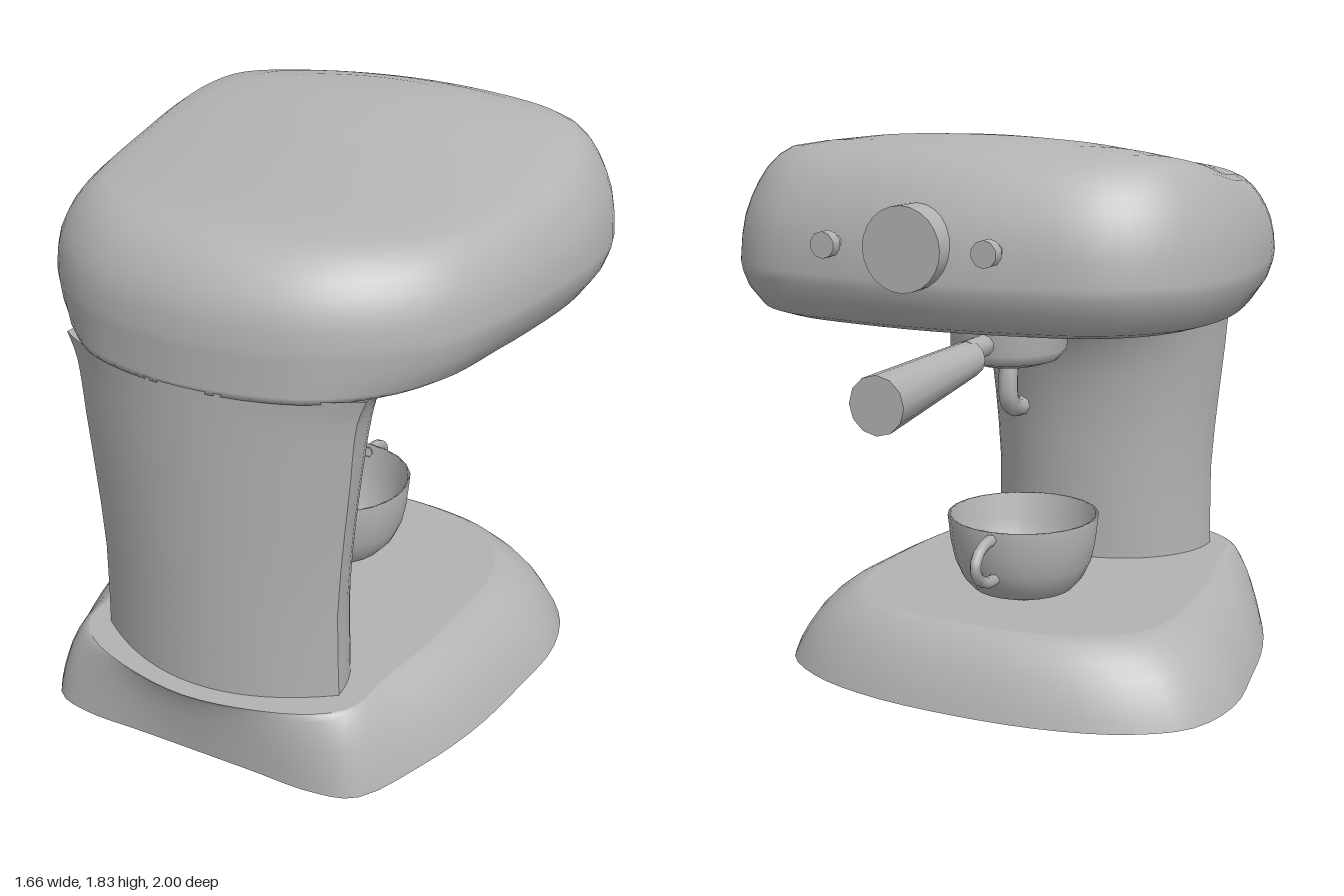
import * as THREE from 'three';

const metal = new THREE.MeshStandardMaterial({ color: 0xb3b3b3, side: THREE.DoubleSide });
metal.name = 'grey metal';

const lerp = THREE.MathUtils.lerp;

// Smooth function through [input, value] pairs, inputs ascending
function track(pairs) {
  return (v) => {
    let i = 0;
    while (i < pairs.length - 2 && v > pairs[i + 1][0]) i++;
    const [a, b] = [pairs[i], pairs[i + 1]];
    const slope = (k) => {
      const p = pairs[Math.max(k - 1, 0)], q = pairs[Math.min(k + 1, pairs.length - 1)];
      return (q[1] - p[1]) / (q[0] - p[0]);
    };
    const h = b[0] - a[0], t = THREE.MathUtils.clamp((v - a[0]) / h, 0, 1);
    return a[1] * (1 + 2 * t) * (1 - t) ** 2 + b[1] * t * t * (3 - 2 * t)
      + h * (slope(i) * t * (1 - t) ** 2 + slope(i + 1) * t * t * (t - 1));
  };
}

// Closed plan outline from its +x half, as [x, z] points
function outline(half, count = 72) {
  const mirrored = half.slice(1, -1).reverse().map(([x, z]) => [-x, z]);
  const pts = [...half, ...mirrored].map(([x, z]) => new THREE.Vector3(x, 0, z));
  return new THREE.CatmullRomCurve3(pts, true).getPoints(count).slice(0, -1).map((p) => [p.x, p.z]);
}

// Skin over rows of [x, y, z], listed from bottom to top
function skin(rows, closed) {
  const n = rows[0].length, index = [];
  for (let i = 0; i < rows.length - 1; i++) {
    for (let j = 0; j < (closed ? n : n - 1); j++) {
      const a = i * n + j, b = i * n + ((j + 1) % n);
      index.push(a, a + n, b, b, a + n, b + n);
    }
  }
  const g = new THREE.BufferGeometry();
  g.setAttribute('position', new THREE.Float32BufferAttribute(rows.flat(2), 3));
  g.setIndex(index);
  g.computeVertexNormals();
  return g;
}

function add(parent, name, geometry, x = 0, y = 0, z = 0) {
  const mesh = new THREE.Mesh(geometry, metal);
  mesh.name = name;
  mesh.position.set(x, y, z);
  parent.add(mesh);
  return mesh;
}

// Column plan: a shallow arc behind and a half ellipse in front
const columnWidth = track([[0.25, 0.425], [0.55, 0.42], [0.75, 0.435], [1, 0.46], [1.2, 0.48], [1.28, 0.51]]);
const columnFront = track([[0.25, 0.405], [0.5, 0.4], [0.83, 0.385], [1.02, 0.345], [1.15, 0.275], [1.235, 0.18], [1.28, 0.02]]);
function columnArc(y, back) {
  const w = columnWidth(y), pts = [];
  for (let i = 0; i <= 28; i++) {
    const a = (i / 28) * Math.PI, x = w * Math.cos(a);
    pts.push(back ? [x, y, 0.93 - 0.16 * (x / w) ** 2]
      : [-x, y, 0.77 - (0.77 - columnFront(y)) * Math.sin(a)]);
  }
  return pts;
}

function buildColumn(g) {
  const heights = [0.25, 0.4, 0.55, 0.7, 0.83, 0.95, 1.02, 1.09, 1.15, 1.195, 1.235, 1.26, 1.28];
  add(g, 'columnBack', skin(heights.map((y) => columnArc(y, true)), false));
  add(g, 'columnFront', skin(heights.map((y) => columnArc(y, false)), false));
}

function buildBase(g) {
  const foot = outline([[0, -0.56], [0.3, -0.54], [0.55, -0.47], [0.73, -0.34], [0.8, -0.12], [0.78, 0.15],
    [0.74, 0.42], [0.66, 0.68], [0.55, 0.9], [0.42, 0.94], [0.2, 0.94], [0, 0.94]]);
  const rim = outline([[0, -0.4], [0.2, -0.39], [0.36, -0.35], [0.5, -0.25], [0.57, -0.08], [0.57, 0.15],
    [0.55, 0.4], [0.51, 0.62], [0.49, 0.8], [0.4, 0.89], [0.2, 0.965], [0, 0.995]]);
  const steps = [[1, 0.003], [0.92, 0.05], [0.8, 0.1], [0.65, 0.152], [0.47, 0.197], [0.25, 0.235], [0.1, 0.25], [0, 0.255]];
  add(g, 'baseSide', skin(steps.map(([t, y]) =>
    rim.map(([x, z], j) => [lerp(x, foot[j][0], t), y, lerp(z, foot[j][1], t)])), true));
  // Top plate, open where the hollow column stands
  const flat = ([x, z]) => new THREE.Vector2(x, -z);
  const plate = new THREE.Shape(rim.map(flat));
  const ring = [...columnArc(0.255, true), ...columnArc(0.255, false).slice(1, -1)];
  plate.holes.push(new THREE.Path(ring.map(([x, , z]) => flat([x, z]))));
  add(g, 'baseTop', new THREE.ShapeGeometry(plate).rotateX(-Math.PI / 2), 0, 0.255, 0);
}

function buildHead(g) {
  const plan = outline([[0, -0.8], [0.3, -0.775], [0.55, -0.72], [0.71, -0.6], [0.8, -0.43], [0.83, -0.2],
    [0.8, 0.1], [0.74, 0.4], [0.66, 0.6], [0.5, 0.77], [0.3, 0.88], [0, 0.93]]);
  const ridge = track([[-0.65, 1.79], [-0.45, 1.835], [-0.3, 1.825], [0, 1.77], [0.3, 1.735], [0.65, 1.71], [0.75, 1.695]]);
  const top = (x, z) => ridge(z) - 0.065 * (x / 0.69) ** 2;
  const rows = [];
  // Flat underside and its rounded lip, which fades out where the column joins
  const lower = [[0.8, 1.27], [0.5, 1.27], [0.2, 1.27], [0.11, 1.272], [0.06, 1.29], [0.02, 1.35], [0.004, 1.4]];
  for (const [inset, y] of lower) {
    rows.push(plan.map(([x, z]) => {
      const fade = inset > 0.15 ? 1 : THREE.MathUtils.clamp((0.85 - z) / 0.5, 0, 1);
      const k = 1 - (inset * fade) / 0.8;
      return [x * k, y, z * k];
    }));
  }
  // Shoulder from the widest line to the crown
  const crown = plan.map(([x, z]) => [x * 0.83, 0.06 + (z - 0.06) * 0.78]);
  for (const [u, v] of [[0, 0], [0.04, 0.22], [0.11, 0.4], [0.23, 0.56], [0.37, 0.7], [0.53, 0.82], [0.75, 0.93], [1, 1]]) {
    rows.push(plan.map(([x, z], j) => {
      const [cx, cz] = crown[j];
      return [lerp(x, cx, u), lerp(1.43, top(cx, cz), v), lerp(z, cz, u)];
    }));
  }
  // Gently saddled top
  for (const k of [0.88, 0.75, 0.6, 0.45, 0.3, 0.15, 0]) {
    rows.push(crown.map(([cx, cz]) => {
      const x = cx * k, z = 0.06 + (cz - 0.06) * k;
      return [x, top(x, z), z];
    }));
  }
  add(g, 'head', skin(rows, true));
}

function lathe(profile, sides) {
  return new THREE.LatheGeometry(profile.map(([r, y]) => new THREE.Vector2(r, y)), sides);
}

function tube(points, radius, sides) {
  const path = new THREE.CatmullRomCurve3(points.map(([y, z]) => new THREE.Vector3(0, y, z)));
  return new THREE.TubeGeometry(path, 12, radius, sides);
}

function buildCup(g) {
  const cup = new THREE.Group();
  cup.name = 'cup';
  g.add(cup);
  add(cup, 'cupBowl', lathe([[0, 0.258], [0.13, 0.258], [0.175, 0.275], [0.21, 0.315], [0.235, 0.37],
    [0.25, 0.44], [0.26, 0.53], [0.25, 0.53], [0.238, 0.44], [0.2, 0.33], [0.15, 0.285], [0, 0.28]], 24), 0, 0, -0.01);
  add(cup, 'cupHandle', tube([[0.505, -0.25], [0.5, -0.32], [0.475, -0.37], [0.44, -0.385], [0.4, -0.36], [0.37, -0.31], [0.36, -0.24]], 0.02, 6));
}

function buildBrewer(g) {
  const brewer = new THREE.Group();
  brewer.name = 'brewer';
  g.add(brewer);
  add(brewer, 'filterHolder', lathe([[0, 1.075], [0.1, 1.075], [0.165, 1.095], [0.193, 1.13], [0.193, 1.275]], 20), 0, 0, -0.125);
  add(brewer, 'spout', tube([[1.09, -0.12], [1.02, -0.13], [0.96, -0.125], [0.925, -0.095], [0.91, -0.03]], 0.034, 8));
  const along = (r1, r0, len, sides) => new THREE.CylinderGeometry(r0, r1, len, sides).rotateX(Math.PI / 2);
  add(brewer, 'handleNeck', along(0.036, 0.036, 0.16, 10), 0, 1.165, -0.36);
  // Grip widens and droops towards its end
  const grip = along(0.088, 0.058, 0.58, 12).translate(0, 1.125, -0.71);
  const p = grip.attributes.position;
  for (let i = 0; i < p.count; i++) {
    p.setY(i, p.getY(i) + (p.getZ(i) + 0.71) * 0.055);
  }
  grip.computeVertexNormals();
  add(brewer, 'handleGrip', grip);
}

function buildControls(g) {
  const disc = (r, len, sides) => new THREE.CylinderGeometry(r, r, len, sides).rotateX(Math.PI / 2);
  add(g, 'mainKnob', disc(0.125, 0.125, 24), 0, 1.53, -0.783);
  for (const side of [-1, 1]) {
    add(g, 'buttonStem', disc(0.022, 0.12, 10), side * 0.26, 1.53, -0.76);
    add(g, 'buttonCap', disc(0.04, 0.04, 10), side * 0.26, 1.53, -0.825);
  }
}

export function createModel() {
  const model = new THREE.Group();
  model.name = 'coffeeMachine';
  [buildBase, buildColumn, buildHead, buildBrewer, buildControls, buildCup].forEach((build) => build(model));
  return model;
}
